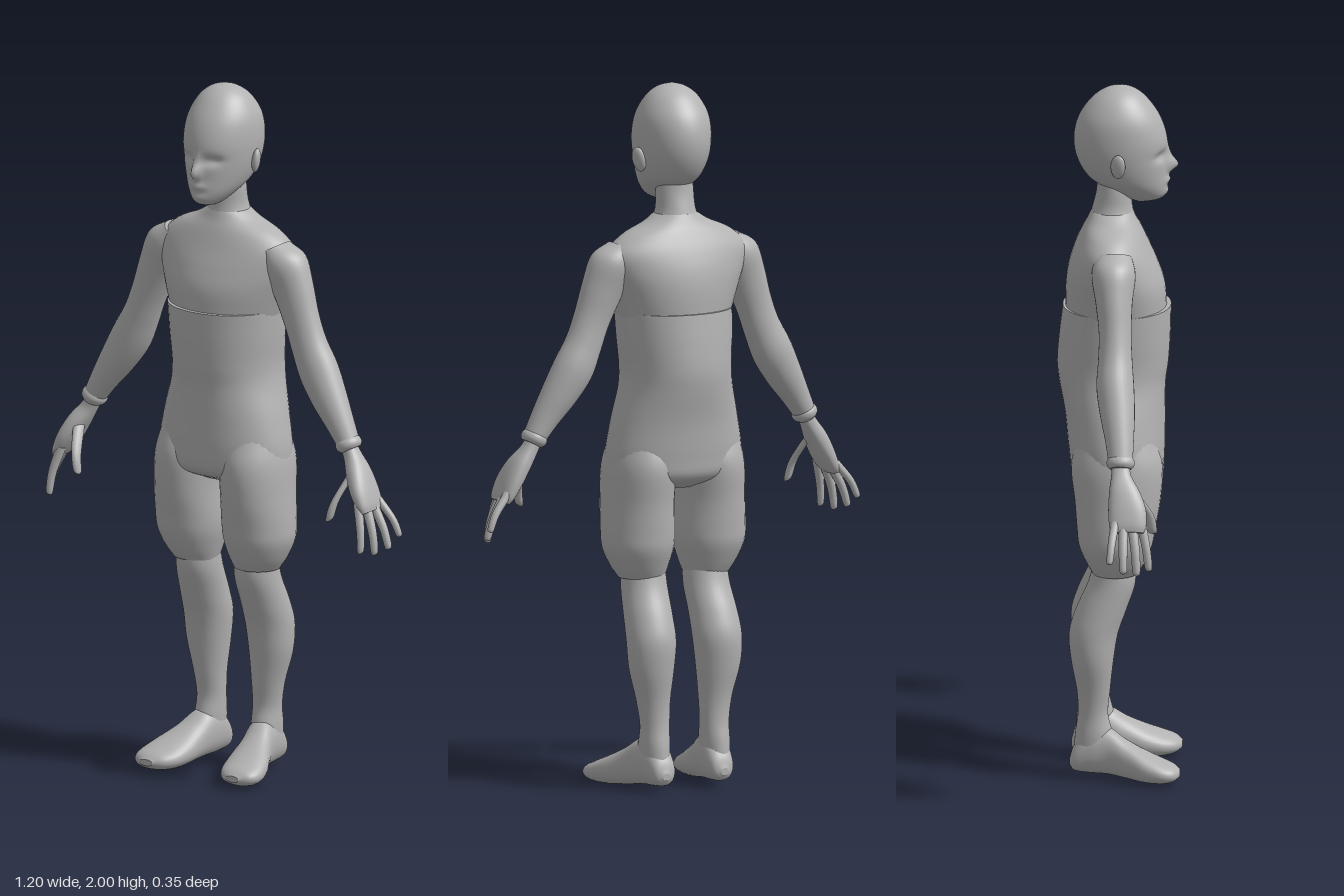
import * as THREE from 'three';

const V = (x, y, z) => new THREE.Vector3(x, y, z);

// Smooth loft: rows are [cx, cy, cz, ru, rv]; rings lie in the plane of U and W.
function loft(rows, U, W, { seg = 32, sub = 5, power = 2, shape = null } = {}) {
  const centres = new THREE.CatmullRomCurve3(rows.map(r => V(r[0], r[1], r[2])), false, 'catmullrom', 0.5);
  const radii = new THREE.CatmullRomCurve3(rows.map(r => V(r[3], r[4], 0)), false, 'catmullrom', 0.5);
  const n = (rows.length - 1) * sub, pos = [], idx = [];
  const bend = v => Math.sign(v) * Math.abs(v) ** (2 / power);
  const ring = k => {
    const c = centres.getPoint(k / n), r = radii.getPoint(k / n);
    for (let j = 0; j < seg; j++) {
      const a = j / seg * Math.PI * 2;
      const p = c.clone().addScaledVector(U, Math.max(r.x, 0.001) * bend(Math.cos(a)))
        .addScaledVector(W, Math.max(r.y, 0.001) * bend(Math.sin(a)));
      if (shape) shape(p);
      pos.push(p.x, p.y, p.z);
    }
  };
  const along = centres.getPoint(1).sub(centres.getPoint(0));
  const flip = U.clone().cross(W).dot(along) < 0;
  const tri = (a, b, c) => flip ? idx.push(a, c, b) : idx.push(a, b, c);
  for (let k = 0; k <= n; k++) ring(k);
  for (let k = 0; k < n; k++) for (let j = 0; j < seg; j++) {
    const a = k * seg + j, b = k * seg + (j + 1) % seg;
    tri(a, b, a + seg);
    tri(b, b + seg, a + seg);
  }
  // end caps
  for (const k of [0, n]) {
    const start = pos.length / 3;
    ring(k);
    const c = centres.getPoint(k / n);
    if (shape) shape(c);
    pos.push(c.x, c.y, c.z);
    for (let j = 0; j < seg; j++) {
      const a = start + j, b = start + (j + 1) % seg;
      k ? tri(start + seg, a, b) : tri(start + seg, b, a);
    }
  }
  const g = new THREE.BufferGeometry();
  g.setAttribute('position', new THREE.Float32BufferAttribute(pos, 3));
  g.setIndex(idx);
  g.computeVertexNormals();
  return g;
}

// Upright loft from [cx, y, zFront, zBack, halfWidth]
const upright = (rows, opts) => loft(
  rows.map(([x, y, f, b, w]) => [x, y, (f + b) / 2, w, (f - b) / 2]), V(1, 0, 0), V(0, 0, 1), opts);

export function createModel() {
  const model = new THREE.Group();
  const grey = new THREE.MeshStandardMaterial({ color: 0xb2b2b2 });
  grey.name = 'plain grey';
  const add = (name, geometry, parent = model) => {
    const m = new THREE.Mesh(geometry, grey);
    m.name = name;
    parent.add(m);
    return m;
  };

  // Head, with sockets, nose, lips and chin pushed into the front
  const bump = (p, x, y, sx, sy) => Math.exp(-(((p.x - x) / sx) ** 2) - ((p.y - y) / sy) ** 2);
  const face = p => {
    if (p.z < 0.05) return;
    const k = Math.min(1, (p.z - 0.05) / 0.05);
    p.z += k * (0.028 * bump(p, 0, 1.768, 0.012, 0.02) + 0.012 * bump(p, 0, 1.795, 0.012, 0.025)
      + 0.009 * bump(p, 0, 1.727, 0.024, 0.011) + 0.006 * bump(p, 0, 1.693, 0.025, 0.012)
      - 0.014 * bump(p, 0.042, 1.803, 0.024, 0.014) - 0.014 * bump(p, -0.042, 1.803, 0.024, 0.014));
  };
  add('head', upright([
    [0, 1.662, 0.08, 0.05, 0.012], [0, 1.674, 0.122, 0.02, 0.035], [0, 1.70, 0.134, -0.03, 0.061],
    [0, 1.735, 0.135, -0.085, 0.083], [0, 1.79, 0.135, -0.118, 0.1], [0, 1.85, 0.135, -0.127, 0.106],
    [0, 1.91, 0.115, -0.113, 0.1], [0, 1.96, 0.08, -0.078, 0.075], [0, 1.988, 0.045, -0.04, 0.042],
    [0, 2.0, 0.004, -0.002, 0.003],
  ], { seg: 72, sub: 8, shape: face }));

  add('neck', upright([
    [0, 1.77, 0.03, -0.06, 0.05], [0, 1.70, 0.035, -0.063, 0.055], [0, 1.65, 0.038, -0.074, 0.057],
    [0, 1.61, 0.045, -0.085, 0.07], [0, 1.56, 0.05, -0.1, 0.09],
  ]));

  // Torso: chest above, slightly wider garment below
  add('chest', upright([
    [0, 1.635, 0.04, -0.078, 0.06], [0, 1.61, 0.05, -0.09, 0.1], [0, 1.58, 0.065, -0.105, 0.168],
    [0, 1.535, 0.085, -0.125, 0.216], [0, 1.48, 0.11, -0.142, 0.212], [0, 1.42, 0.13, -0.15, 0.192],
    [0, 1.34, 0.135, -0.15, 0.165],
  ], { seg: 48 }));
  add('waistGarment', upright([
    [0, 1.362, 0.147, -0.158, 0.168], [0, 1.28, 0.145, -0.168, 0.163], [0, 1.2, 0.14, -0.174, 0.157],
    [0, 1.14, 0.132, -0.168, 0.163], [0, 1.05, 0.13, -0.152, 0.187], [0, 0.95, 0.13, -0.142, 0.205],
    [0, 0.89, 0.118, -0.128, 0.19], [0, 0.855, 0.05, -0.06, 0.09],
  ], { seg: 48, power: 2.1 }));

  for (const s of [1, -1]) {
    const name = part => (s > 0 ? 'left' : 'right') + part;
    const mx = rows => rows.map(([x, ...rest]) => [s * x, ...rest]);

    add(name('Ear'), new THREE.SphereGeometry(1, 20, 14)).scale.set(0.012, 0.036, 0.022);
    const ear = model.children.at(-1);
    ear.position.set(s * 0.107, 1.79, 0.0);
    ear.rotation.set(0.15, s * 0.4, -s * 0.2);

    // Short trouser leg, gathered under the knee
    add(name('ShortsLeg'), upright(mx([
      [0.105, 1.0, 0.1, -0.11, 0.085], [0.11, 0.92, 0.125, -0.132, 0.098], [0.114, 0.82, 0.12, -0.122, 0.1],
      [0.114, 0.74, 0.106, -0.116, 0.104], [0.114, 0.69, 0.097, -0.11, 0.101], [0.11, 0.64, 0.077, -0.09, 0.084],
      [0.104, 0.605, 0.055, -0.072, 0.067],
    ])));

    add(name('LowerLeg'), upright(mx([
      [0.1, 0.66, 0.045, -0.065, 0.062], [0.1, 0.58, 0.05, -0.083, 0.066], [0.104, 0.5, 0.025, -0.118, 0.069],
      [0.106, 0.43, 0.001, -0.138, 0.071], [0.107, 0.35, -0.012, -0.132, 0.065], [0.1, 0.26, -0.022, -0.116, 0.049],
      [0.096, 0.19, -0.028, -0.113, 0.042], [0.097, 0.13, -0.015, -0.121, 0.042], [0.098, 0.06, -0.01, -0.125, 0.038],
    ])));

    // Foot from [x, z, top, bottom, halfWidth], toes turned out
    const foot = [
      [0.094, -0.136, 0.06, 0.04, 0.012], [0.094, -0.122, 0.1, 0.024, 0.034], [0.096, -0.08, 0.15, 0.018, 0.043],
      [0.101, -0.03, 0.152, 0.016, 0.046], [0.115, 0.02, 0.12, 0.01, 0.054], [0.13, 0.07, 0.093, 0.004, 0.066],
      [0.142, 0.12, 0.071, 0.004, 0.067], [0.148, 0.155, 0.057, 0.011, 0.052], [0.148, 0.175, 0.042, 0.024, 0.022],
    ];
    add(name('Foot'), loft(mx(foot.map(([x, z, t, b, w]) => [x, (t + b) / 2, z, w, (t - b) / 2])),
      V(1, 0, 0), V(0, 1, 0), { power: 2.2 }));

    // Arm hanging down and outward
    const across = V(s * 0.88, 0.47, 0), depth = V(0, 0, 1);
    const arm = (part, rows, opts) => add(name(part), loft(mx(rows), across, depth, opts));
    arm('Arm', [
      [0.165, 1.545, -0.01, 0.04, 0.05], [0.2, 1.5, -0.01, 0.065, 0.062], [0.232, 1.43, -0.008, 0.062, 0.052],
      [0.262, 1.35, -0.004, 0.055, 0.046], [0.288, 1.28, -0.003, 0.055, 0.048], [0.322, 1.21, -0.002, 0.06, 0.053],
      [0.363, 1.14, 0.005, 0.053, 0.049], [0.405, 1.075, 0.012, 0.041, 0.04], [0.438, 1.02, 0.016, 0.032, 0.034],
    ]);
    arm('Cuff', [
      [0.428, 1.036, 0.016, 0.031, 0.033], [0.434, 1.026, 0.016, 0.037, 0.039],
      [0.441, 1.015, 0.016, 0.036, 0.038], [0.446, 1.007, 0.016, 0.028, 0.03],
    ], { sub: 3 });
    arm('Palm', [
      [0.43, 1.03, 0.016, 0.02, 0.024], [0.452, 0.99, 0.018, 0.023, 0.028], [0.478, 0.95, 0.028, 0.028, 0.043],
      [0.503, 0.905, 0.036, 0.027, 0.053], [0.524, 0.865, 0.038, 0.021, 0.052], [0.534, 0.846, 0.038, 0.013, 0.045],
    ], { power: 2.4 });

    // Thumb and four fingers: [name, knuckle, middle, tip, radius]
    const digits = [
      ['IndexFinger', [0.51, 0.875, 0.074], [0.53, 0.8, 0.09], [0.537, 0.735, 0.098], 0.0125],
      ['MiddleFinger', [0.52, 0.868, 0.05], [0.549, 0.795, 0.06], [0.562, 0.728, 0.064], 0.013],
      ['RingFinger', [0.525, 0.868, 0.026], [0.563, 0.8, 0.026], [0.584, 0.74, 0.027], 0.0125],
      ['LittleFinger', [0.527, 0.875, 0.003], [0.572, 0.82, -0.006], [0.595, 0.77, -0.011], 0.011],
      ['Thumb', [0.472, 0.955, 0.04], [0.446, 0.875, 0.093], [0.433, 0.815, 0.107], 0.0155],
    ];
    for (const [part, a, b, c, r] of digits) {
      const end = b.map((v, i) => v + (c[i] - v) * 0.85);
      arm(part, [[...a, r * 1.15, r * 1.15], [...b, r, r], [...end, r * 0.85, r * 0.85], [...c, r * 0.2, r * 0.2]],
        { seg: 14 });
    }
  }
  return model;
}
